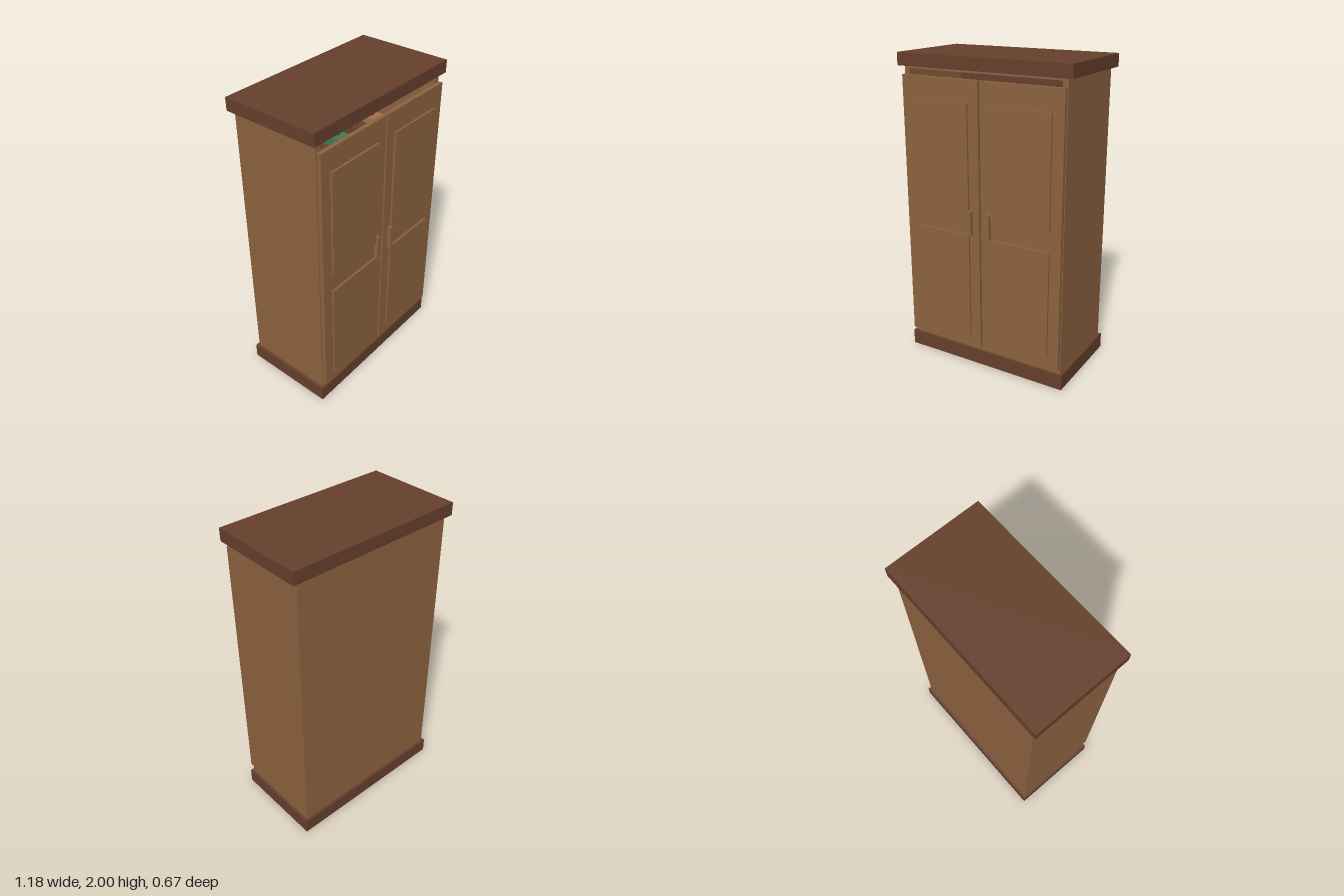
import * as THREE from 'three';

export function createModel() {
  const wardrobe = new THREE.Group();
  wardrobe.name = 'wardrobe';

  const paint = (name, color) => {
    const m = new THREE.MeshStandardMaterial({ color });
    m.name = name;
    return m;
  };
  const wood = paint('oak wood', 0x8e6340);
  const dark = paint('dark wood', 0x663f2c);
  const green = paint('green cloth', 0x3f7d50);
  const tan = paint('tan cloth', 0xa0724a);

  // Box given by its limits on each axis
  function box(name, mat, [x0, x1], [y0, y1], [z0, z1], parent = wardrobe) {
    const mesh = new THREE.Mesh(new THREE.BoxGeometry(x1 - x0, y1 - y0, z1 - z0), mat);
    mesh.position.set((x0 + x1) / 2, (y0 + y1) / 2, (z0 + z1) / 2);
    mesh.name = name;
    parent.add(mesh);
    return mesh;
  }

  // Plinth and cornice
  box('plinth', dark, [-0.572, 0.572], [0, 0.1], [-0.327, 0.29]);
  box('cornice', dark, [-0.592, 0.592], [1.92, 2], [-0.333, 0.3]);

  // Hollow carcass with a dark inner back
  box('backPanel', wood, [-0.555, 0.555], [0.1, 1.92], [-0.31, -0.285]);
  box('innerBack', dark, [-0.52, 0.52], [0.12, 1.905], [-0.285, -0.278]);
  box('floorBoard', wood, [-0.52, 0.52], [0.1, 0.12], [-0.285, 0.275]);
  box('ceilingBoard', wood, [-0.52, 0.52], [1.905, 1.92], [-0.285, 0.275]);

  for (const side of [-1, 1]) {
    const span = (a, b) => (side > 0 ? [a, b] : [-b, -a]);
    box(side > 0 ? 'leftWall' : 'rightWall', wood, span(0.52, 0.555), [0.1, 1.92], [-0.285, 0.275]);

    // Door with two raised panels and a handle
    const door = new THREE.Group();
    door.name = side > 0 ? 'leftDoor' : 'rightDoor';
    wardrobe.add(door);
    box('doorLeaf', wood, span(0.007, 0.553), [0.137, 1.87], [0.281, 0.307], door);
    box('upperPanel', wood, span(0.077, 0.481), [1.037, 1.733], [0.307, 0.32], door);
    box('lowerPanel', wood, span(0.077, 0.481), [0.215, 0.912], [0.307, 0.32], door);
    box('handle', wood, span(0.054, 0.079), [0.915, 1.075], [0.307, 0.333], door);
  }

  // Hanging rail
  const rail = new THREE.Mesh(new THREE.CylinderGeometry(0.012, 0.012, 1.04, 12), dark);
  rail.name = 'hangingRail';
  rail.rotation.z = Math.PI / 2;
  rail.position.set(0, 1.68, -0.06);
  wardrobe.add(rail);

  // Garments on hangers
  [[-0.34, tan, 0.85], [-0.17, dark, 0.75], [0.01, green, 0.91], [0.19, dark, 0.8], [0.35, tan, 0.95]]
    .forEach(([x, mat, hem]) => {
      const garment = new THREE.Group();
      garment.name = 'hangingGarment';
      wardrobe.add(garment);
      box('cloth', mat, [x - 0.05, x + 0.05], [hem, 1.615], [-0.21, 0.09], garment);
      box('hangerHook', dark, [x - 0.008, x + 0.008], [1.615, 1.68], [-0.068, -0.052], garment);
    });

  return wardrobe;
}
